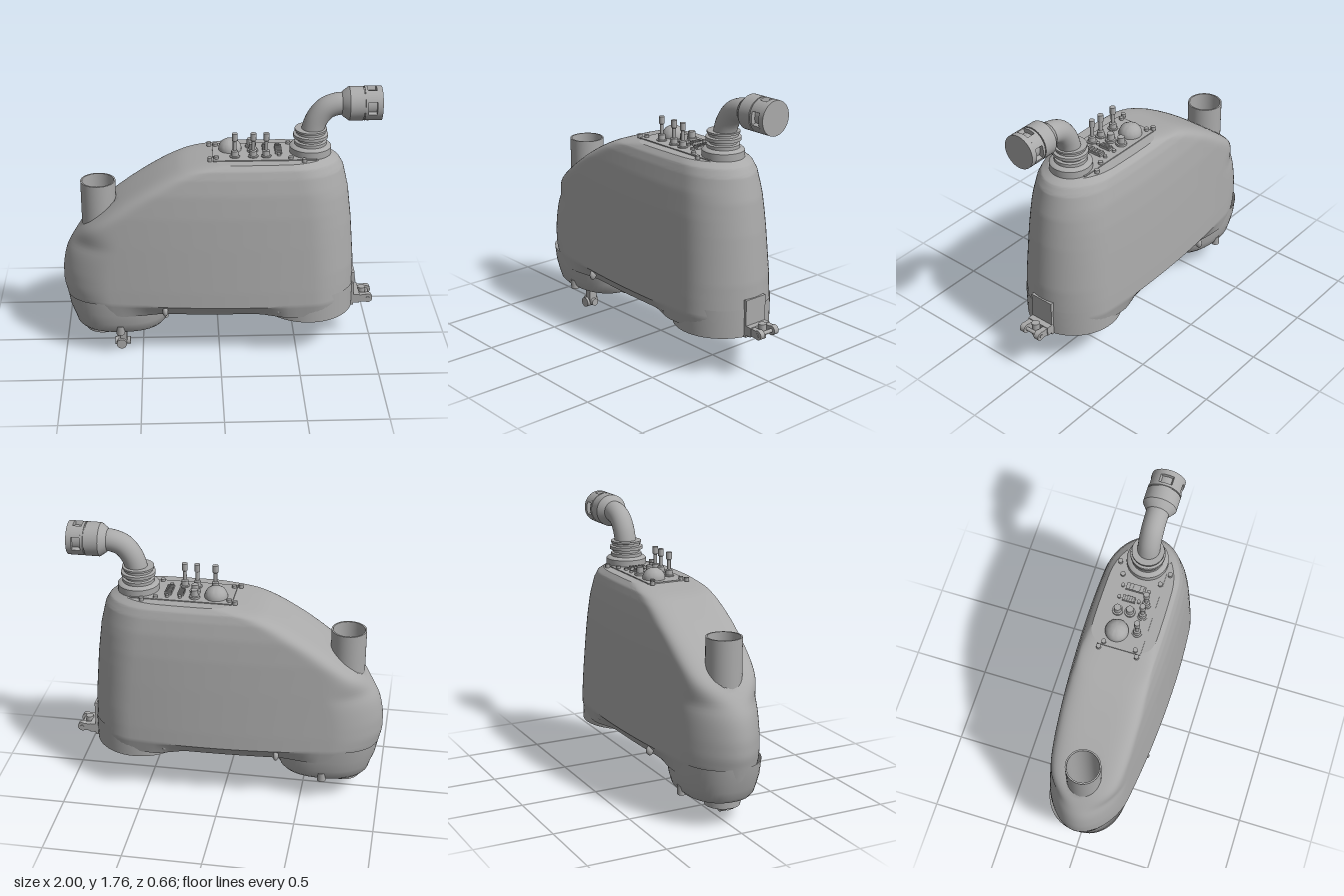
import * as THREE from 'three';
import { toCreasedNormals } from 'three/addons/utils/BufferGeometryUtils.js';

const grey = new THREE.MeshStandardMaterial({ color: 0xaaaaaa, side: THREE.DoubleSide });
grey.name = 'plain grey';

const TUBE_X = -0.76, HOLE = 0.105, TOP = 1.33;

// Linear lookup in a short table of [key, value] pairs
function lookup(rows, k) {
  for (let i = 1; i < rows.length; i++) {
    const [a, va] = rows[i - 1], [b, vb] = rows[i];
    if (k <= b) return va + (vb - va) * Math.max(0, (k - a) / (b - a));
  }
  return rows[rows.length - 1][1];
}

// Point on a unit superellipse at an angle
function superPoint(a, n) {
  const c = Math.cos(a), s = Math.sin(a);
  const r = (Math.abs(c) ** n + Math.abs(s) ** n) ** (-1 / n);
  return [r * c, r * s];
}

// Skin between horizontal loops, leaving out the vertical tube's opening
function loft(loops) {
  const m = loops[0].length, pos = [], index = [], inside = [];
  for (const loop of loops) for (const [px, y, pz] of loop) {
    let x = px, z = pz;
    const d = Math.hypot(x - TUBE_X, z), cut = d < HOLE;
    if (cut && d > 1e-4) {
      x = TUBE_X + (x - TUBE_X) * HOLE / d;
      z = z * HOLE / d;
    }
    inside.push(cut);
    pos.push(x, y, z);
  }
  const tri = (a, b, c) => { if (!(inside[a] && inside[b] && inside[c])) index.push(a, b, c); };
  for (let i = 0; i < loops.length - 1; i++) for (let j = 0; j < m; j++) {
    const a = i * m + j, b = i * m + (j + 1) % m;
    tri(a, a + m, b);
    tri(b, a + m, b + m);
  }
  const g = new THREE.BufferGeometry();
  g.setAttribute('position', new THREE.Float32BufferAttribute(pos, 3));
  g.setIndex(index);
  return toCreasedNormals(g, 0.6);
}

// Flat cap over a loop, facing up or down
function cap(loop, up, hole) {
  const s = new THREE.Shape(loop.map(([x, , z]) => new THREE.Vector2(x, z)));
  if (hole) s.holes.push(new THREE.Path().absarc(TUBE_X, 0, HOLE, 0, Math.PI * 2, true));
  const g = new THREE.ShapeGeometry(s, 24);
  return g.rotateX(up ? -Math.PI / 2 : Math.PI / 2).translate(0, loop[0][1], 0);
}

// Main shell outline at a height, from the left-edge position upward
const rightEdge = [[0.31, 0.87], [0.6, 0.865], [0.9, 0.84], [1.1, 0.815], [1.25, 0.78], [1.3, 0.75], [TOP, 0.7]];
const sideWidth = [[0.31, 0.31], [0.4, 0.33], [0.5, 0.326], [0.8, 0.307], [1, 0.292], [1.15, 0.274], [1.25, 0.252], [1.3, 0.234], [TOP, 0.205]];
const undercut = [[-0.6, 0], [-0.38, 1], [0.25, 1], [0.42, 0]];

function shellLoop(xl, y) {
  const xr = lookup(rightEdge, y), s = lookup(sideWidth, y) / 0.33;
  const t = THREE.MathUtils.smoothstep(y, 0.75, 0.98);
  const n = 2 + 2.5 * t, rl = 0.3 - 0.1 * t, rr = 0.28, half = [];
  const add = (x, f) => {
    const base = 0.33 - (x < 0.2 ? 0.085 : 0.12) * (x - 0.2) ** 2;
    const tuck = 1 - 0.2 * lookup(undercut, x) * Math.max(0, (0.4 - y) / 0.09);
    half.push([x, y, base * s * f * tuck]);
  };
  for (let i = 0; i <= 14; i++) {
    const [c, f] = superPoint(i / 14 * Math.PI / 2, 2);
    add(xr - rr * (1 - c), f);
  }
  for (let i = 1; i < 24; i++) add(THREE.MathUtils.lerp(xr - rr, xl + rl, i / 24), 1);
  for (let i = 20; i >= 0; i--) {
    const [c, f] = superPoint(i / 20 * Math.PI / 2, n);
    add(xl + rl * (1 - c), f);
  }
  return half.concat(half.slice(1, -1).reverse().map(([x, h, z]) => [x, h, -z]));
}

function ovalLoop(y, cx, rx, rz) {
  return Array.from({ length: 56 }, (_, i) => {
    const [c, s] = superPoint(i / 56 * Math.PI * 2, 2.3);
    return [cx + rx * c, y, rz * s];
  });
}

export function createModel() {
  const model = new THREE.Group();
  const add = (name, g, x = 0, y = 0, z = 0, parent = model) => {
    const mesh = new THREE.Mesh(g, grey);
    mesh.name = name;
    mesh.position.set(x, y, z);
    parent.add(mesh);
    return mesh;
  };
  const cyl = (r0, r1, h, n = 20) => new THREE.CylinderGeometry(r1, r0, h, n);
  const box = (w, h, d) => new THREE.BoxGeometry(w, h, d);
  const lathe = (pts, n = 40) => toCreasedNormals(
    new THREE.LatheGeometry(pts.map(p => new THREE.Vector2(...p)), n), 0.6);

  // Shell
  const edge = new THREE.SplineCurve([[-0.965, 0.31], [-0.985, 0.4], [-1, 0.48], [-0.995, 0.6], [-0.96, 0.73],
    [-0.87, 0.86], [-0.75, 0.965], [-0.6, 1.08], [-0.43, 1.19], [-0.3, 1.26], [-0.2, 1.297], [-0.03, TOP]]
    .map(p => new THREE.Vector2(...p)));
  const loops = edge.getPoints(66).map(p => shellLoop(Math.max(p.x, -1), Math.min(p.y, TOP)));
  add('shell', loft(loops));
  add('shellTop', cap(loops[loops.length - 1], true));
  add('shellUnderside', cap(loops[0], false, true));

  // Front foot
  const foot = [[0.16, -0.64, 0.25, 0.185], [0.167, -0.635, 0.272, 0.203], [0.19, -0.635, 0.29, 0.225],
    [0.24, -0.635, 0.305, 0.24], [0.31, -0.64, 0.325, 0.252], [0.4, -0.64, 0.34, 0.258]].map(r => ovalLoop(...r));
  add('frontFoot', loft(foot));
  add('frontFootBase', cap(foot[0], false, true));

  // Rear round foot with a recessed base
  add('rearFoot', lathe([[0, 0.295], [0.275, 0.295], [0.275, 0.27], [0.3, 0.27], [0.302, 0.45]], 56), 0.57);

  // Through tube
  add('throughTube', lathe([[0.1, 0.11], [0.11, 0.11], [0.11, 1.155], [0.1, 1.155], [0.1, 0.11]]), TUBE_X);

  // Bolts in the undercut
  for (const x of [-0.35, 0.37]) for (const s of [-1, 1])
    add('sideBolt', new THREE.SphereGeometry(1, 16, 10).scale(0.018, 0.033, 0.025), x, 0.36, s * 0.285);

  // Slotted rails underneath
  const stadium = (Type, r) => new Type().absarc(0.13 - 0.03, 0, r, -Math.PI / 2, Math.PI / 2)
    .absarc(-0.13 + 0.03, 0, r, Math.PI / 2, Math.PI * 1.5).closePath();
  const rail = stadium(THREE.Shape, 0.03);
  rail.holes.push(stadium(THREE.Path, 0.02));
  for (const z of [-0.115, 0.115])
    add('bottomSlot', new THREE.ExtrudeGeometry(rail, { depth: 0.012, bevelEnabled: false })
      .rotateX(Math.PI / 2), -0.1, 0.312, z);

  // Control panel
  const panel = new THREE.Group();
  panel.name = 'controlPanel';
  panel.position.y = TOP;
  model.add(panel);
  add('panelPlate', box(0.64, 0.008, 0.275), 0.28, 0.002, 0, panel);
  for (const [x, z] of [[-0.06, 0.12], [0.44, 0.12], [0.52, 0.16], [-0.02, 0.1]]) for (const s of [-1, 1])
    add('panelBolt', cyl(0.015, 0.015, 0.025, 12), x, 0.01, s * z, panel);
  add('dome', lathe([[0.072, 0], [0.072, 0.02], [0.067, 0.036], [0.054, 0.056], [0.03, 0.071], [0, 0.075]]), 0.07, 0, -0.045, panel);

  // Toggle levers and push buttons
  const lever = [[0.032, 0], [0.032, 0.012], [0.024, 0.015], [0.022, 0.045], [0.012, 0.05], [0.012, 0.11], [0.018, 0.115], [0.018, 0.16], [0, 0.16]];
  const button = [[0.034, 0], [0.034, 0.02], [0.024, 0.022], [0.022, 0.06], [0, 0.06]];
  for (const [x, z] of [[0.095, 0.075], [0.21, 0.075], [0.29, 0.075]]) add('lever', lathe(lever, 20), x, 0, z, panel);
  for (const [x, z] of [[0.2, -0.08], [0.21, -0.005]]) add('pushButton', lathe(button, 20), x, 0, z, panel);

  // Ribbed connectors with end screws
  for (const [x, z, w, d] of [[0.29, -0.035, 0.036, 0.08], [0.37, -0.015, 0.042, 0.12]]) {
    add('connector', box(w, 0.02, d), x, 0.01, z, panel);
    for (let i = -2; i <= 2; i++) add('connectorRib', box(w, 0.008, d / 10), x, 0.023, z + i * d / 5.5, panel);
    for (const s of [-1, 1]) add('connectorScrew', cyl(0.012, 0.012, 0.02, 10), x, 0.01, z + s * (d / 2 + 0.022), panel);
  }

  // Neck collar and bent pipe
  add('neckCollar', lathe([[0.13, 0], [0.13, 0.045], [0.12, 0.055], [0.1, 0.06], [0.1, 0.08], [0.085, 0.085], [0.085, 0.1],
    [0.108, 0.105], [0.108, 0.125], [0.09, 0.13], [0.09, 0.145], [0.1, 0.148], [0.1, 0.16], [0, 0.16]]), 0.57, TOP);
  const bend = new THREE.CatmullRomCurve3([[0.575, 1.43], [0.583, 1.49], [0.61, 1.56], [0.66, 1.62], [0.73, 1.648], [0.82, 1.65]]
    .map(([x, y]) => new THREE.Vector3(x, y, 0)));
  add('bentPipe', new THREE.TubeGeometry(bend, 32, 0.07, 28));

  // Nozzle with four windows, running along x
  const nozzle = new THREE.Group();
  nozzle.name = 'nozzle';
  nozzle.position.y = 1.65;
  model.add(nozzle);
  const along = pts => lathe(pts.map(([x, r]) => [r, -x]).reverse()).rotateZ(Math.PI / 2);
  add('nozzleBody', along([[0.755, 0.07], [0.762, 0.078], [0.8, 0.106], [0.886, 0.106], [0.886, 0.099], [0.893, 0.099],
    [0.893, 0.106], [0.91, 0.106], [0.91, 0.08], [0.965, 0.08], [0.965, 0.106], [1, 0.106], [1, 0]]), 0, 0, 0, nozzle);
  for (let i = 0; i < 4; i++) {
    const a = i * Math.PI / 2 + 0.4, b = (i + 1) * Math.PI / 2 - 0.4;
    const sector = new THREE.Shape().absarc(0, 0, 0.106, a, b, false).absarc(0, 0, 0.075, b, a, true).closePath();
    const g = new THREE.ExtrudeGeometry(sector, { depth: 0.057, bevelEnabled: false, curveSegments: 10 });
    add('nozzleRib', toCreasedNormals(g, 0.6).rotateY(Math.PI / 2), 0.909, 0, 0, nozzle);
  }

  // Rear hitch
  const hitch = new THREE.Group();
  hitch.name = 'rearHitch';
  model.add(hitch);
  add('hitchPad', box(0.07, 0.24, 0.16), 0.841, 0.39, 0, hitch);
  add('hitchBlock', box(0.05, 0.06, 0.16), 0.89, 0.315, 0, hitch);
  for (const s of [-1, 1]) {
    add('hitchLug', box(0.07, 0.05, 0.035), 0.935, 0.315, s * 0.058, hitch);
    add('hitchLugEnd', cyl(0.03, 0.03, 0.035).rotateX(Math.PI / 2), 0.97, 0.315, s * 0.058, hitch);
  }
  add('hitchPin', cyl(0.012, 0.012, 0.16).rotateX(Math.PI / 2), 0.97, 0.315, 0, hitch);
  add('hitchKnuckle', cyl(0.025, 0.025, 0.09), 0.935, 0.317, 0, hitch);

  // Lower hook with roller
  const hook = new THREE.Group();
  hook.name = 'lowerHook';
  model.add(hook);
  add('hookArm', box(0.045, 0.18, 0.055), -0.627, 0.13, 0.09, hook);
  add('hookRoller', cyl(0.033, 0.033, 0.09).rotateX(Math.PI / 2), -0.64, 0.033, 0.09, hook);
  add('hookAxle', cyl(0.025, 0.025, 0.1).rotateZ(Math.PI / 2), -0.632, 0.038, 0.09, hook);
  // Small fastener bosses around the front foot
  for (const [x, z] of [[-0.64, 0.215], [-0.64, -0.215], [-0.36, 0]])
    add('footBoss', cyl(0.027, 0.027, 0.06, 16), x, 0.192, z);
  return model;
}
